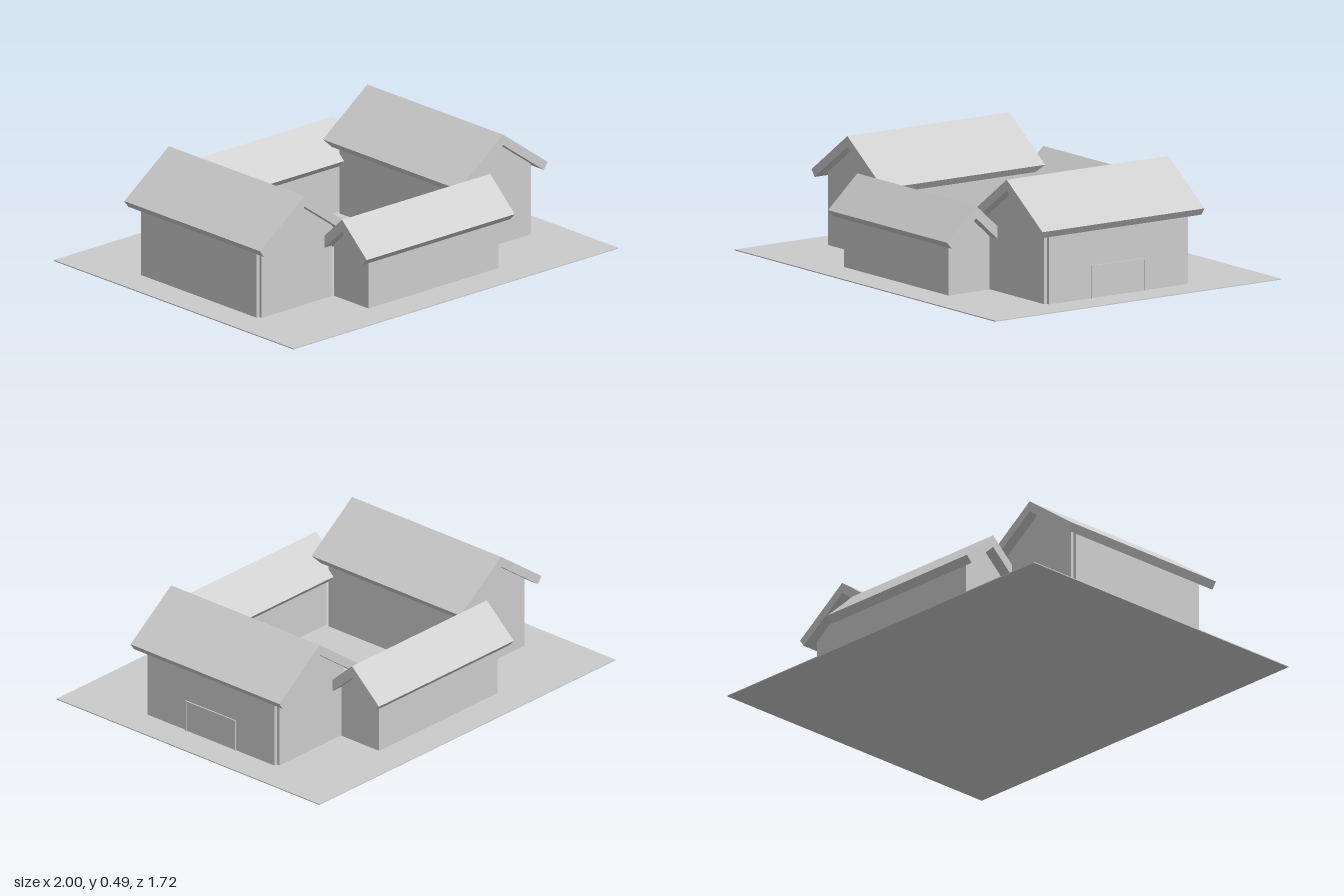
import * as THREE from 'three';

const grey = new THREE.MeshStandardMaterial({ color: 0xcccccc, flatShading: true });

function addMesh(parent, name, geometry, x = 0, y = 0, z = 0) {
  const mesh = new THREE.Mesh(geometry, grey);
  mesh.name = name;
  mesh.position.set(x, y, z);
  parent.add(mesh);
  return mesh;
}

// Extrudes a counter-clockwise outline, centred along z
function prism(points, length) {
  const shape = new THREE.Shape(points.map(([x, y]) => new THREE.Vector2(x, y)));
  return new THREE.ExtrudeGeometry(shape, { depth: length, bevelEnabled: false })
    .translate(0, 0, -length / 2);
}

// Hall with its ridge along z: gabled body, pitched roof slab, optional end panels
function makeHall(name, { roofHalf, eave, ridge, thick, roofLength, wallHalf, wallLength, panel }) {
  const hall = new THREE.Group();
  hall.name = name;
  const pitch = Math.atan2(ridge - eave, roofHalf);
  const innerRidge = ridge - thick / Math.cos(pitch);
  const dx = thick * Math.sin(pitch), dy = thick * Math.cos(pitch);

  addMesh(hall, 'roof', prism([
    [roofHalf, eave], [0, ridge], [-roofHalf, eave],
    [-roofHalf + dx, eave - dy], [0, innerRidge], [roofHalf - dx, eave - dy],
  ], roofLength));

  // Wall outline reaching just into the underside of the roof
  const gable = (half) => {
    const top = innerRidge + 0.003, side = top - half * Math.tan(pitch);
    return [[-half, 0.001], [half, 0.001], [half, side], [0, top], [-half, side]];
  };
  addMesh(hall, 'walls', prism(gable(wallHalf), wallLength));
  if (panel) {
    for (const s of [-1, 1]) {
      addMesh(hall, 'gablePanel', prism(gable(wallHalf - panel), panel), 0, 0, s * (wallLength + panel) / 2);
    }
  }
  return hall;
}

export function createModel() {
  const model = new THREE.Group();
  model.name = 'courtyardBuildings';
  const site = new THREE.Group();
  site.name = 'site';
  site.rotation.y = THREE.MathUtils.degToRad(10);
  model.add(site);

  addMesh(site, 'ground', new THREE.BoxGeometry(1.777, 0.004, 1.43), 0, 0.002, 0);

  // Tall side halls
  for (const [side, name] of [[1, 'leftHall'], [-1, 'rightHall']]) {
    const hall = makeHall(name, {
      roofHalf: 0.244, eave: 0.314, ridge: 0.49, thick: 0.036, roofLength: 0.81,
      wallHalf: 0.207, wallLength: 0.69, panel: 0.014,
    });
    hall.position.x = side * 0.543;
    site.add(hall);
  }

  // Low front and back wings
  for (const [side, name] of [[1, 'frontWing'], [-1, 'backWing']]) {
    const wing = makeHall(name, {
      roofHalf: 0.147, eave: 0.235, ridge: 0.369, thick: 0.038, roofLength: 0.81,
      wallHalf: 0.103, wallLength: 0.71,
    });
    wing.rotation.y = Math.PI / 2;
    wing.position.set(0.012, 0, side * 0.465);
    site.add(wing);
  }

  // Gate with a thin frame on the outer wall of one hall
  const gate = new THREE.Group();
  gate.name = 'gate';
  gate.position.x = 0.75;
  addMesh(gate, 'gateDoor', new THREE.BoxGeometry(0.004, 0.13, 0.26), 0, 0.066, 0);
  for (const s of [-1, 1]) {
    addMesh(gate, 'gatePost', new THREE.BoxGeometry(0.012, 0.13, 0.007), 0, 0.066, s * 0.1325);
  }
  addMesh(gate, 'gateLintel', new THREE.BoxGeometry(0.012, 0.007, 0.272), 0, 0.1345, 0);
  site.add(gate);

  return model;
}
